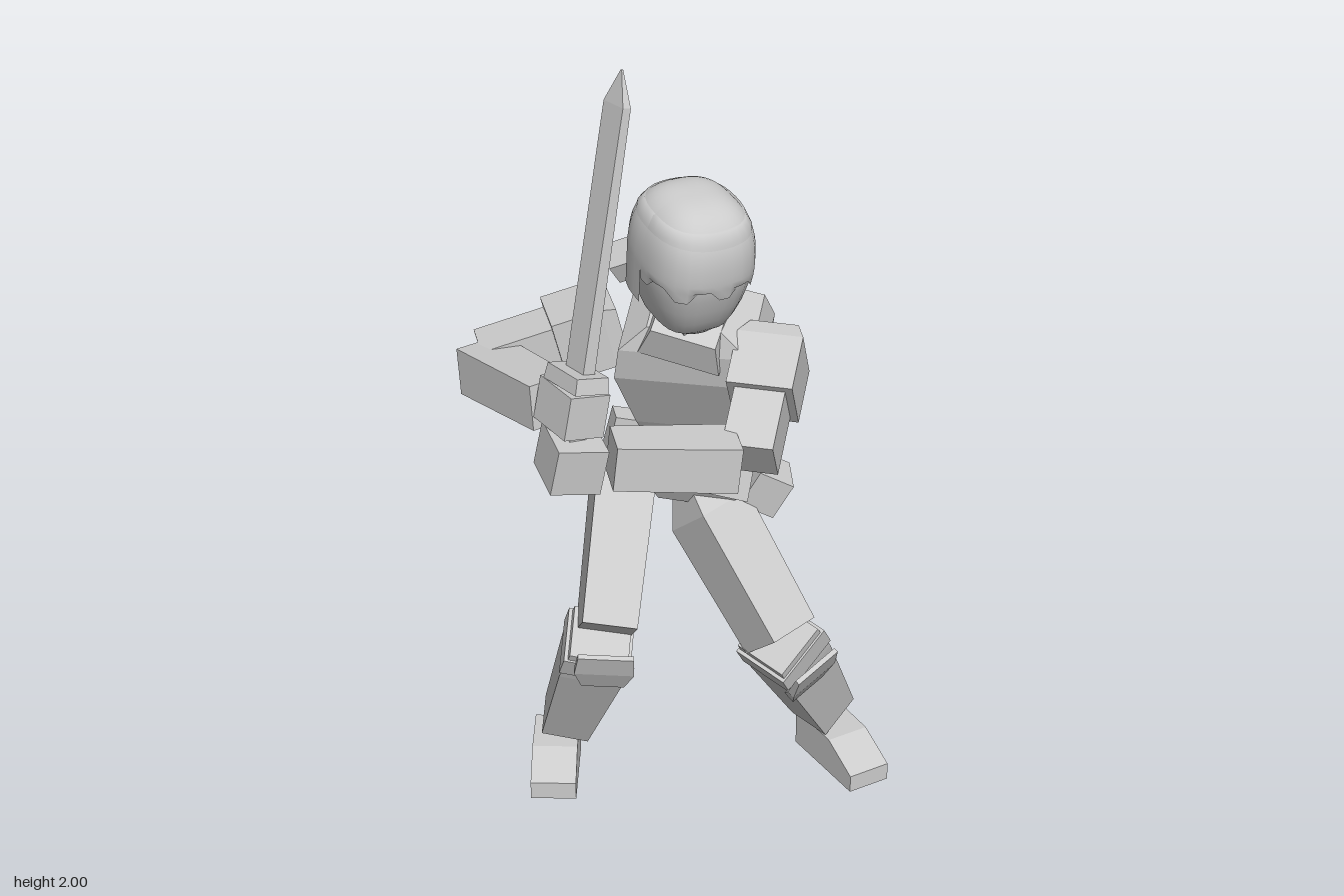
import * as THREE from 'three';

const mat = new THREE.MeshStandardMaterial({ color: 0xcccccc, flatShading: true });
const smooth = new THREE.MeshStandardMaterial({ color: 0xcccccc, side: THREE.DoubleSide });
const V = (p) => new THREE.Vector3(...p);

// Four-sided loft: rings of [y, width, depth, zShift]
function loft(rings) {
  const corners = [[1, 1], [1, -1], [-1, -1], [-1, 1]];
  const pos = [], idx = [];
  for (const [y, w, d, s = 0] of rings)
    for (const [cx, cz] of corners) pos.push(cx * w / 2, y, cz * d / 2 + s);
  for (let r = 0; r < rings.length - 1; r++)
    for (let i = 0; i < 4; i++) {
      const a = r * 4 + i, b = r * 4 + (i + 1) % 4;
      idx.push(a, b, b + 4, a, b + 4, a + 4);
    }
  const t = (rings.length - 1) * 4;
  idx.push(0, 2, 1, 0, 3, 2, t, t + 1, t + 2, t, t + 2, t + 3);
  const g = new THREE.BufferGeometry();
  g.setAttribute('position', new THREE.Float32BufferAttribute(pos, 3));
  g.setIndex(idx);
  const flat = g.toNonIndexed();
  flat.computeVertexNormals();
  return flat;
}

// Loft running from a to b; ring heights are fractions, front is the local z hint
function limb(name, a, b, rings, front = [0, 0, 1]) {
  const A = V(a), y = V(b).sub(A), len = y.length();
  y.normalize();
  const z = V(front).addScaledVector(y, -V(front).dot(y)).normalize();
  const x = new THREE.Vector3().crossVectors(y, z);
  const m = new THREE.Mesh(loft(rings.map(([t, ...r]) => [t * len, ...r])), mat);
  m.name = name;
  m.quaternion.setFromRotationMatrix(new THREE.Matrix4().makeBasis(x, y, z));
  m.position.copy(A);
  return m;
}

function box(name, size, pos, rot) {
  const m = new THREE.Mesh(new THREE.BoxGeometry(...size), mat);
  m.name = name;
  m.position.set(...pos);
  m.rotation.set(...rot);
  return m;
}

// Wedge-toed shoe from a side profile
function foot(name, pos, yaw, length) {
  const k = length / 2;
  const s = new THREE.Shape([[-k, 0], [k, 0], [k, 0.045], [k * 0.2, 0.095], [-k, 0.1]].map((p) => new THREE.Vector2(...p)));
  const g = new THREE.ExtrudeGeometry(s, { depth: 0.11, bevelEnabled: false });
  g.translate(0, 0, -0.055).rotateY(-Math.PI / 2);
  const m = new THREE.Mesh(g, mat);
  m.name = name;
  m.position.set(...pos);
  m.rotation.y = yaw;
  return m;
}

// Rounded-box head volume, narrower toward the jaw; rule adjusts each vertex
function roundedHead(w, h, d, thetaMax, rule) {
  const g = new THREE.SphereGeometry(1, 32, 18, 0, Math.PI * 2, 0, thetaMax);
  const p = g.attributes.position, v = new THREE.Vector3();
  for (let i = 0; i < p.count; i++) {
    v.fromBufferAttribute(p, i);
    const n = 2.8;
    const q = (Math.abs(v.x) ** n + Math.abs(v.y) ** n + Math.abs(v.z) ** n) ** (-1 / n);
    v.multiplyScalar(q);
    const taper = v.y < 0 ? 1 + 0.25 * v.y : 1;
    v.set(v.x * w / 2 * taper, v.y * h / 2, v.z * d / 2 * (v.z > 0 ? taper : 1));
    rule(v, i);
    p.setXYZ(i, v.x, v.y, v.z);
  }
  g.computeVertexNormals();
  return g;
}

function buildHead() {
  const head = new THREE.Group();
  head.name = 'head';
  // flat-bottomed jaw
  const face = new THREE.Mesh(roundedHead(0.242, 0.38, 0.28, Math.PI, (v) => {
    v.y = THREE.MathUtils.clamp(v.y, -0.155, 0.13);
  }), smooth);
  face.name = 'face';
  // jagged fringe in front, longer at the back
  const hair = new THREE.Mesh(roundedHead(0.25, 0.33, 0.288, Math.PI * 0.54, (v, i) => {
    if (i >= 33 * 18) v.y += v.z < 0 ? -0.07 : (i % 4 < 2 ? 0.02 : -0.01);
  }), smooth);
  hair.name = 'hair';
  head.add(face, hair);
  head.position.set(-0.03, 1.515, 0.04);
  head.rotation.set(0.14, -0.08, 0);
  return head;
}

function buildSword() {
  const sword = new THREE.Group();
  sword.name = 'sword';
  sword.add(
    limb('blade', [-0.36, 1.35, 0.11], [-0.21, 2, 0.055], [[0, 0.03, 0.07], [0.89, 0.02, 0.075], [1, 0.004, 0.004]]),
    limb('guard', [-0.372, 1.325, 0.113], [-0.364, 1.36, 0.11], [[0, 0.085, 0.13], [1, 0.08, 0.12]]),
    limb('grip', [-0.415, 1.1, 0.135], [-0.365, 1.34, 0.112], [[0, 0.045, 0.055], [1, 0.04, 0.05]])
  );
  return sword;
}

function buildScabbard() {
  const g = new THREE.Group();
  g.name = 'scabbard';
  const broad = [0.64, 0.41, 0.64];
  g.add(
    limb('sheath', [0.395, 0.87, -0.23], [0.05, 1.4, -0.235], [[0, 0.045, 0.09], [0.07, 0.052, 0.14], [1, 0.052, 0.14]], broad),
    limb('sheathCollar', [0.05, 1.375, -0.235], [0.022, 1.418, -0.235], [[0, 0.085, 0.175], [1, 0.085, 0.175]], broad)
  );
  return g;
}

export function createModel() {
  const g = new THREE.Group();
  const chestFront = [-0.7, 0, 0.7], hipFront = [-0.45, 0, 0.88];

  // Trunk
  g.add(
    limb('torso', [0.12, 0.95, -0.12], [0.0, 1.36, -0.01],
      [[0, 0.21, 0.15], [0.32, 0.27, 0.2], [0.7, 0.33, 0.23], [0.88, 0.3, 0.2], [1, 0.17, 0.14]], chestFront),
    limb('collar', [0.0, 1.3, -0.01], [-0.02, 1.365, 0.03], [[0, 0.19, 0.18], [1, 0.15, 0.14]], chestFront),
    limb('neck', [-0.005, 1.32, 0], [-0.03, 1.42, 0.03], [[0, 0.1, 0.1], [1, 0.1, 0.1]]),
    limb('pelvis', [0.075, 0.8, -0.14], [0.1, 0.92, -0.13], [[0, 0.15, 0.13], [0.4, 0.23, 0.19], [1, 0.21, 0.18]], hipFront),
    limb('belt', [0.082, 0.85, -0.135], [0.104, 0.92, -0.13], [[0, 0.255, 0.22], [1, 0.24, 0.2]], hipFront),
    box('leftPouch', [0.09, 0.1, 0.1], [0.225, 0.82, -0.03], [0.1, -0.5, -0.45]),
    box('rightPouch', [0.07, 0.075, 0.08], [-0.06, 0.925, -0.13], [0, -0.5, -0.4]),
    box('backPouch', [0.09, 0.1, 0.06], [0.0, 0.91, -0.28], [0, -0.4, -0.25]),
    limb('strap', [0.16, 1.16, -0.2], [0.1, 1.38, -0.13], [[0, 0.06, 0.03], [1, 0.06, 0.03]], [0.7, 0, -0.7])
  );

  // Arms: sleeve covers the upper arm up to the given fraction
  const arm = (side, S, E, E2, W, cover, size) => g.add(
    limb(side + 'UpperArm', S, E, [[0, 0.115, 0.115], [1, 0.115, 0.115]], [0, 1, 0]),
    limb(side + 'Sleeve', S, V(S).lerp(V(E), cover).toArray(), [[-0.2, 0.11, 0.11], [0.08, size, size], [1, size, size]], [0, 1, 0]),
    limb(side + 'Forearm', E2, W, [[0, 0.12, 0.11], [1, 0.105, 0.105]], [0, 1, 0])
  );
  arm('left', [0.15, 1.27, 0.11], [-0.03, 1.115, 0.28], [-0.065, 1.125, 0.275], [-0.32, 1.155, 0.17], 0.5, 0.15);
  arm('right', [-0.12, 1.285, -0.17], [-0.385, 1.215, -0.27], [-0.395, 1.215, -0.265], [-0.385, 1.25, 0.03], 0.43, 0.15);
  g.add(
    box('rightHand', [0.1, 0.1, 0.13], [-0.376, 1.27, 0.1], [0, 0, -0.2]),
    box('leftHand', [0.115, 0.11, 0.13], [-0.395, 1.16, 0.125], [0.1, -0.25, -0.15])
  );

  // Legs
  const leg = (side, hip, knee, top, ankle, front, pad0, pad1) => g.add(
    limb(side + 'Thigh', hip, knee, [[0, 0.09, 0.1], [0.16, 0.14, 0.16], [1, 0.13, 0.14]], front),
    limb(side + 'Shin', top, ankle, [[0, 0.14, 0.14], [0.25, 0.15, 0.14], [1, 0.115, 0.11]], front),
    limb(side + 'KneeBand', V(top).lerp(V(ankle), 0.05).toArray(), V(top).lerp(V(ankle), 0.19).toArray(), [[0, 0.16, 0.15], [1, 0.16, 0.15]], front),
    limb(side + 'KneePad', pad0, pad1, [[0, 0.1, 0.03], [0.5, 0.14, 0.02, 0.005], [1, 0.13, 0.012]], front)
  );
  leg('left', [0.09, 0.81, -0.12], [0.165, 0.5, 0.13], [0.165, 0.49, 0.12], [0.39, 0.14, 0.0], [0.15, 0, 1],
    [0.2, 0.375, 0.18], [0.18, 0.48, 0.26]);
  leg('right', [-0.035, 0.85, -0.24], [-0.21, 0.555, -0.045], [-0.215, 0.53, -0.06], [-0.21, 0.19, -0.24], [-0.5, 0, 0.85],
    [-0.25, 0.45, 0.0], [-0.27, 0.55, 0.05]);
  g.add(foot('leftFoot', [0.41, 0, 0.055], -0.04, 0.25), foot('rightFoot', [-0.255, 0.055, -0.22], -0.6, 0.21));

  g.add(buildHead(), buildSword(), buildScabbard());
  return g;
}
